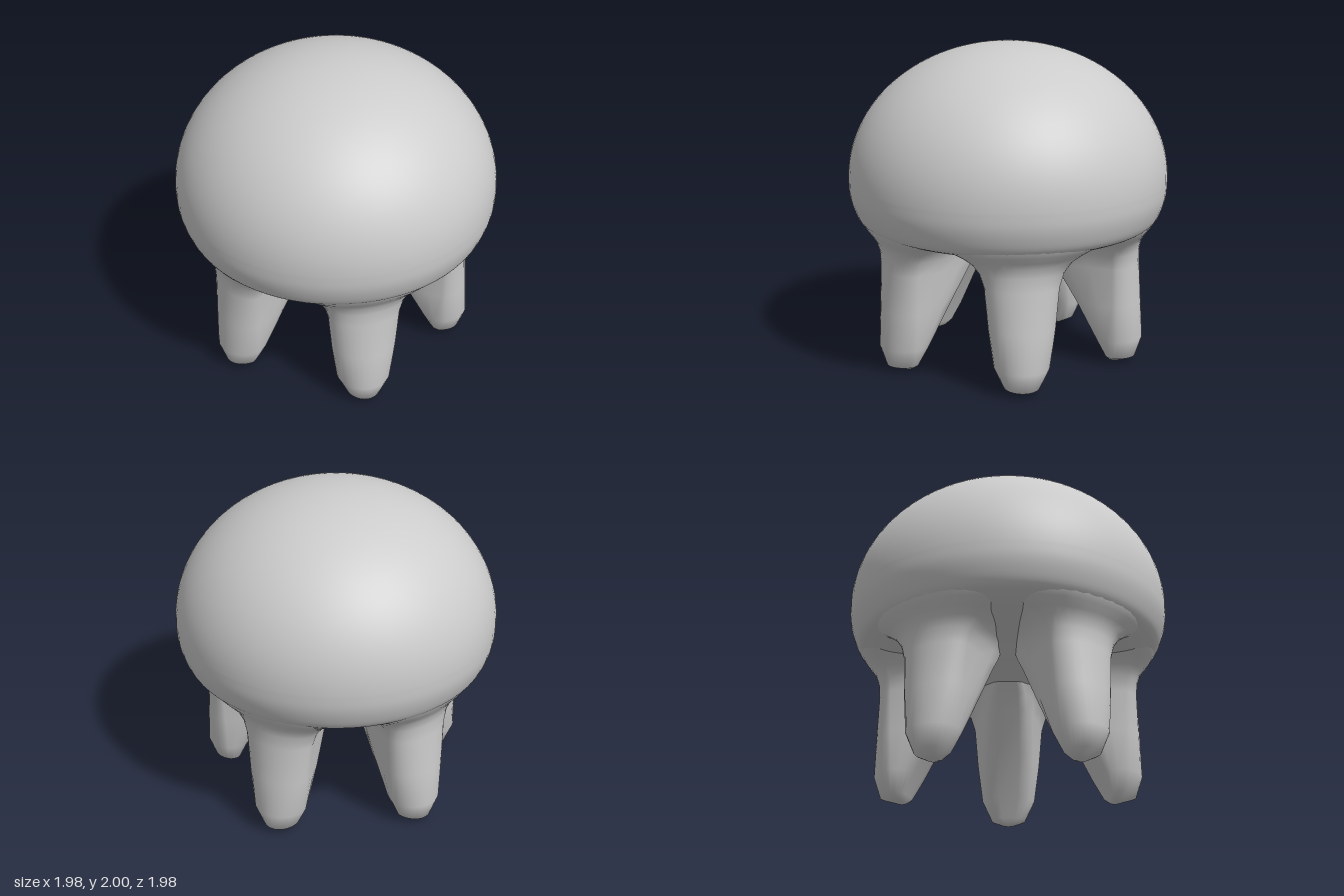
import * as THREE from 'three';

const material = new THREE.MeshStandardMaterial({ color: 0xcccccc, roughness: 0.8 });

// Domed bell: gently sagging underside, rounded rim, elliptical top
function makeBell() {
  const lower = new THREE.SplineCurve([
    [0, 0.78], [0.15, 0.785], [0.35, 0.815], [0.56, 0.84], [0.78, 0.86],
    [0.88, 0.89], [0.93, 0.925], [0.965, 1.0], [0.985, 1.08], [0.99, 1.17],
  ].map(([x, y]) => new THREE.Vector2(x, y))).getPoints(36);
  const upper = [];
  for (let i = 1; i <= 32; i++) {
    const a = (i / 32) * Math.PI / 2;
    upper.push(new THREE.Vector2(0.99 * Math.cos(a), 1.17 + 0.83 * Math.sin(a)));
  }
  const points = [...lower, ...upper];
  points.forEach((p) => { p.x = Math.max(p.x, 0); });
  return new THREE.LatheGeometry(points, 72);
}

// Leg sections: height, outer reach, half width, inner reach, inner half width.
// The inner side slopes from the tip up to the middle of the bell.
const SECTIONS = [
  [0.00, 0.72, 0.04, 0.66, 0.03],
  [0.035, 0.82, 0.11, 0.64, 0.08],
  [0.16, 0.86, 0.168, 0.58, 0.12],
  [0.40, 0.845, 0.20, 0.45, 0.14],
  [0.65, 0.83, 0.222, 0.29, 0.13],
  [0.74, 0.83, 0.25, 0.22, 0.12],
  [0.80, 0.845, 0.295, 0.17, 0.10],
  [0.84, 0.87, 0.35, 0.13, 0.09],
  [0.88, 0.90, 0.42, 0.10, 0.08],
  [0.93, 0.93, 0.48, 0.08, 0.08],
  [0.98, 0.94, 0.48, 0.08, 0.08],
];

// Outline as [sideways, outward] pairs: round outside, narrowing wedge inside
function outline([, outer, half, inner, innerHalf]) {
  const mid = Math.min(0.69, outer - 0.03);
  const pts = [];
  for (let i = 0; i <= 16; i++) {
    const a = -Math.PI / 2 + (i / 16) * Math.PI;
    pts.push([half * Math.sin(a), mid + (outer - mid) * Math.cos(a)]);
  }
  const depth = mid - inner;
  const side = [
    [half * 0.7 + innerHalf * 0.3, mid - depth * 0.35],
    [half * 0.3 + innerHalf * 0.7, mid - depth * 0.7],
    [innerHalf * 0.9, mid - depth * 0.94],
    [innerHalf * 0.5, inner],
  ];
  pts.push(...side, ...side.slice().reverse().map(([x, z]) => [-x, z]));
  return pts;
}

function makeLeg() {
  const positions = [];
  const index = [];
  let n = 0;
  for (const section of SECTIONS) {
    const ring = outline(section);
    n = ring.length;
    ring.forEach(([x, z]) => positions.push(x, section[0], z));
  }
  for (let i = 0; i < SECTIONS.length - 1; i++) {
    for (let j = 0; j < n; j++) {
      const k = (j + 1) % n;
      const a = i * n + j, b = i * n + k, c = a + n, d = b + n;
      index.push(a, b, d, a, d, c);
    }
  }
  // Closed tip
  const tip = positions.length / 3;
  positions.push(0, 0, 0.69);
  for (let j = 0; j < n; j++) index.push(tip, (j + 1) % n, j);

  const geometry = new THREE.BufferGeometry();
  geometry.setAttribute('position', new THREE.Float32BufferAttribute(positions, 3));
  geometry.setIndex(index);
  geometry.computeVertexNormals();
  return geometry;
}

export function createModel() {
  const model = new THREE.Group();
  model.name = 'jellyfish';

  const bell = new THREE.Mesh(makeBell(), material);
  bell.name = 'bell';
  model.add(bell);

  // Five stubby legs, the first one facing the front
  const legGeometry = makeLeg();
  for (let i = 0; i < 5; i++) {
    const leg = new THREE.Mesh(legGeometry, material);
    leg.name = `leg${i + 1}`;
    leg.rotation.y = (i / 5) * Math.PI * 2;
    model.add(leg);
  }
  return model;
}
